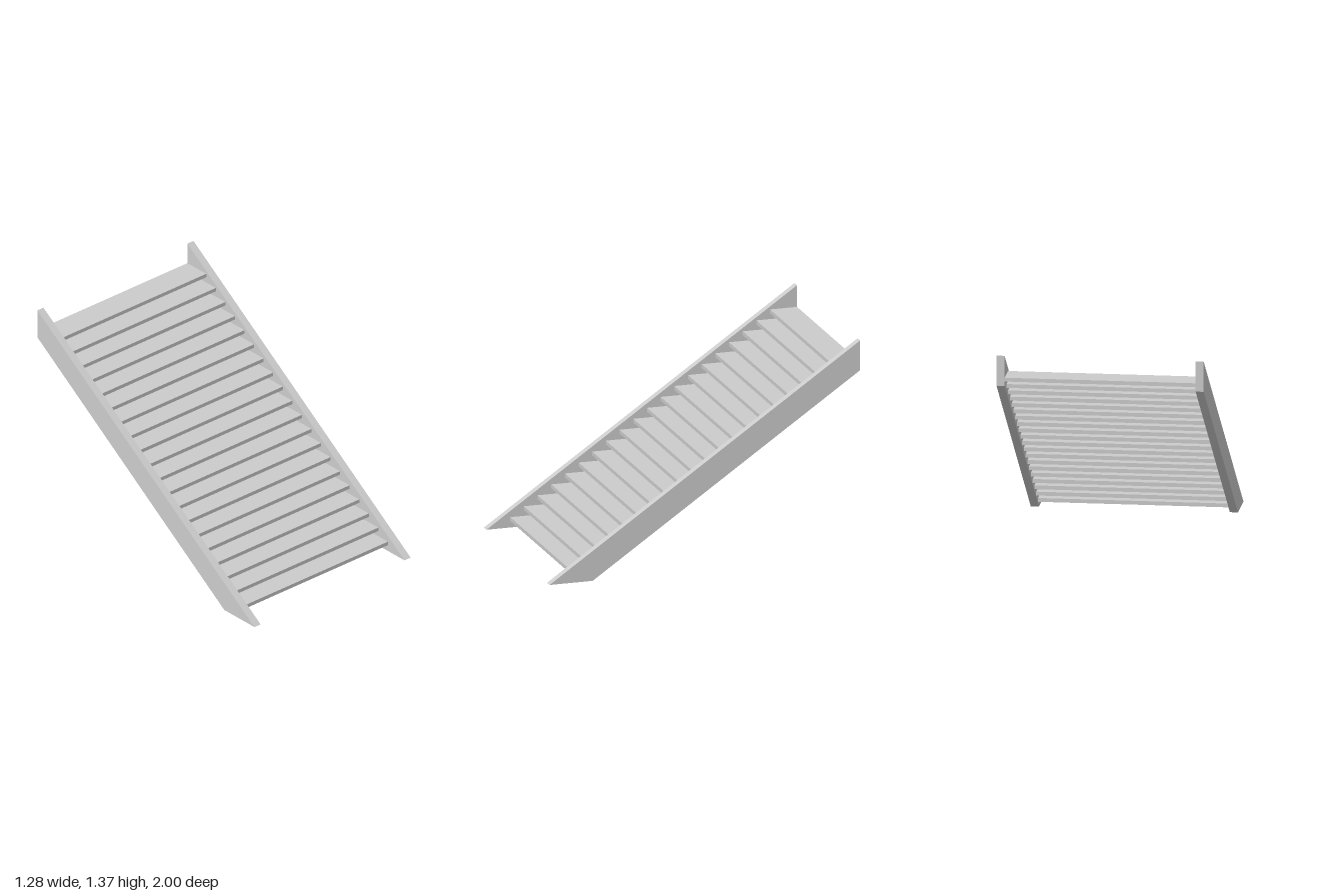
import * as THREE from 'three';

const INNER = 0.588, OUTER = 0.638; // stringer faces in x
const TREADS = 20;

export function createModel() {
  const group = new THREE.Group();
  group.name = 'staircase';
  const material = new THREE.MeshStandardMaterial({ color: 0xcccccc, flatShading: true });

  // Sloping side boards, cut level at the floor and plumb at the top
  const profile = new THREE.Shape([
    [-1, 0], [-0.722, 0], [1, 1.181], [1, 1.371],
  ].map(([u, y]) => new THREE.Vector2(u, y)));
  const stringerGeometry = new THREE.ExtrudeGeometry(profile, { depth: OUTER - INNER, bevelEnabled: false });
  stringerGeometry.rotateY(Math.PI / 2);
  for (const [name, x] of [['leftStringer', INNER], ['rightStringer', -OUTER]]) {
    const stringer = new THREE.Mesh(stringerGeometry, material);
    stringer.name = name;
    stringer.position.x = x;
    group.add(stringer);
  }

  // Open treads, evenly stepped from the floor to the top
  const treadGeometry = new THREE.BoxGeometry(INNER * 2, 0.024, 0.174);
  const treads = new THREE.Group();
  treads.name = 'treads';
  for (let i = 0; i < TREADS; i++) {
    const t = i / (TREADS - 1);
    const tread = new THREE.Mesh(treadGeometry, material);
    tread.name = `tread${i + 1}`;
    tread.position.set(0, THREE.MathUtils.lerp(0.054, 1.221, t), THREE.MathUtils.lerp(0.76, -0.913, t));
    treads.add(tread);
  }
  group.add(treads);
  return group;
}
